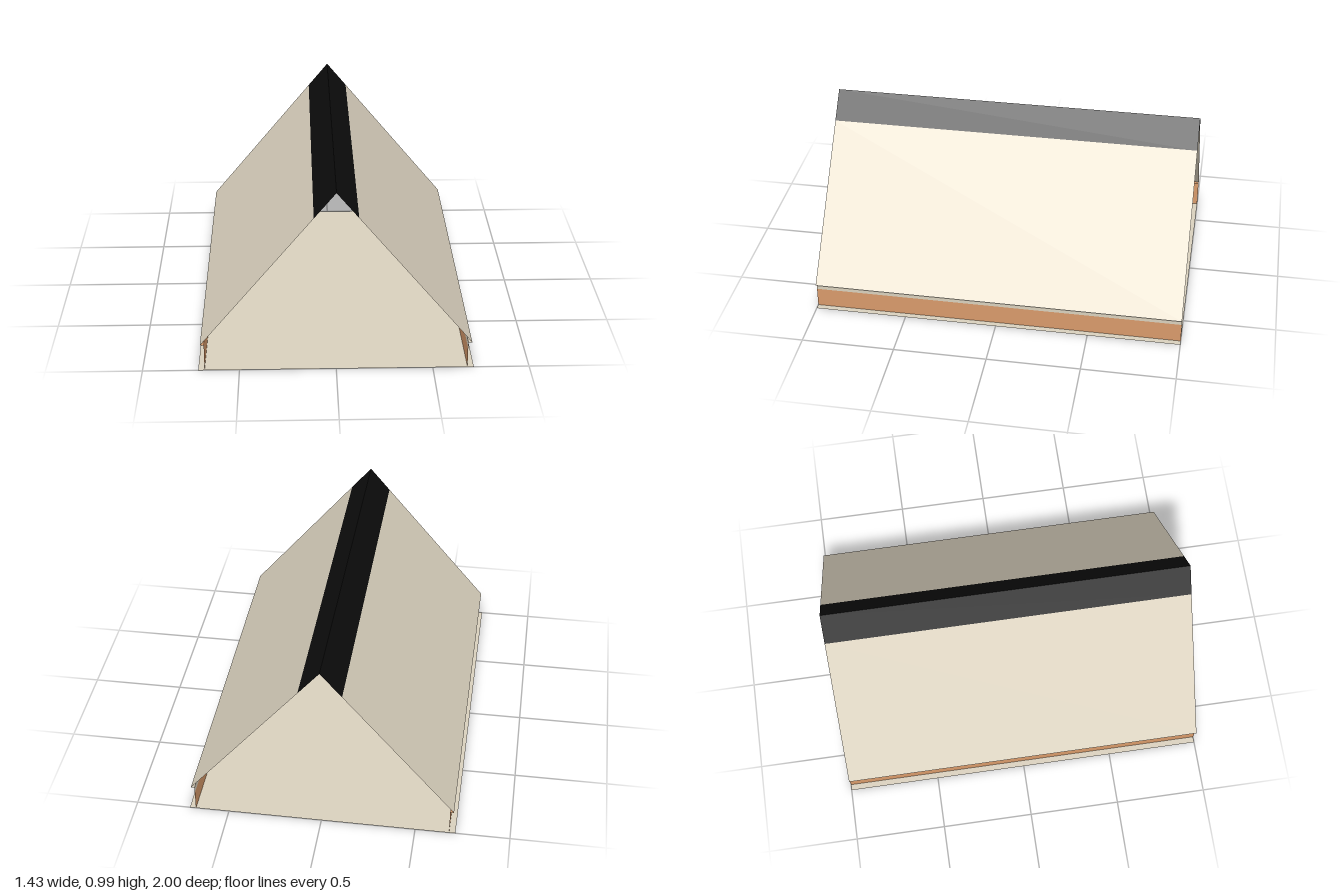
import * as THREE from 'three';

const LENGTH = 2;

const flat = (name, color) => {
  const m = new THREE.MeshStandardMaterial({ color, side: THREE.DoubleSide });
  m.name = name;
  return m;
};

// Thin sheet running the full length in z, between two points of the end profile
function sheet(name, [x0, y0], [x1, y1], material) {
  const geometry = new THREE.PlaneGeometry(Math.hypot(x1 - x0, y1 - y0), LENGTH);
  geometry.rotateX(-Math.PI / 2);
  geometry.rotateZ(Math.atan2(y1 - y0, x1 - x0));
  geometry.translate((x0 + x1) / 2, (y0 + y1) / 2, 0);
  const mesh = new THREE.Mesh(geometry, material);
  mesh.name = name;
  return mesh;
}

export function createModel() {
  const beige = flat('beige', 0xd9d0bd);
  const orange = flat('orange', 0xd89a6a);
  const black = flat('black', 0x0c0c0c);

  const model = new THREE.Group();
  model.name = 'gableRoof';

  // Floor
  model.add(sheet('floor', [-0.713, 0], [0.713, 0], beige));

  // Each half, listed so that the sheets face outward
  for (const [side, s, trim] of [['left', 1, beige], ['right', -1, orange]]) {
    const half = new THREE.Group();
    half.name = side + 'Half';
    const add = (name, a, b, material) => {
      const p = [s * a[0], a[1]], q = [s * b[0], b[1]];
      half.add(s > 0 ? sheet(name, p, q, material) : sheet(name, q, p, material));
    };
    // Ridge cap and roof slope
    add('ridgeCap', [0, 0.987], [0.113, 0.851], black);
    add('roofSlope', [0.113, 0.851], [0.7, 0.1445], beige);
    // Eave soffit, upper wall strip and low wall
    add('soffit', [0.7, 0.1445], [0.68, 0.1445], trim);
    add('wallStrip', [0.68, 0.1445], [0.68, 0.108], trim);
    add('wall', [0.68, 0.108], [0.68, 0], orange);
    model.add(half);
  }
  return model;
}
